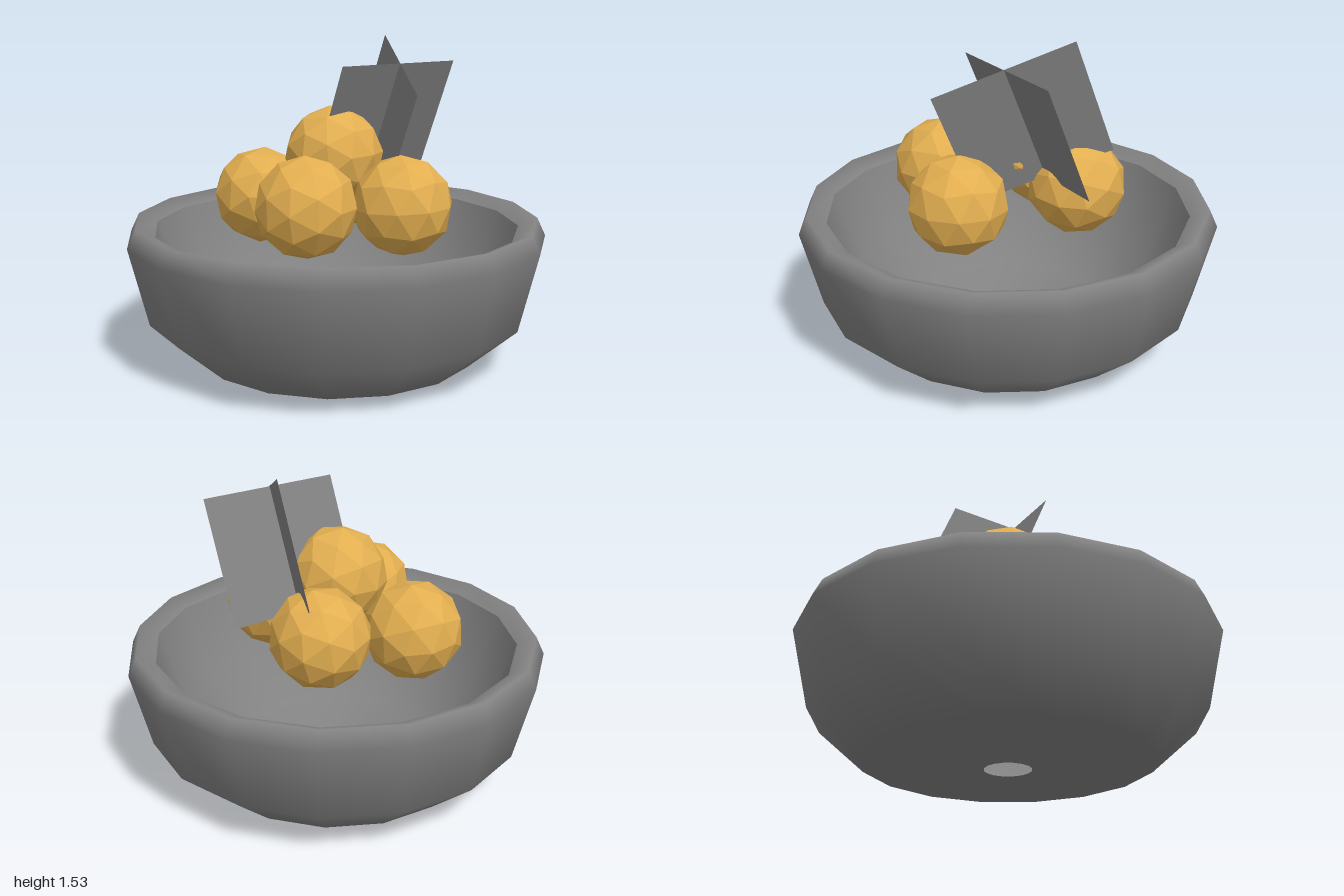
import * as THREE from 'three';

const bowlGrey = new THREE.MeshStandardMaterial({ color: 0x828282 });
bowlGrey.name = 'bowlGrey';
bowlGrey.side = THREE.DoubleSide;
const fruitOrange = new THREE.MeshStandardMaterial({ color: 0xe2ae50, flatShading: true });
fruitOrange.name = 'fruitOrange';

function add(parent, name, geometry, material) {
  const mesh = new THREE.Mesh(geometry, material);
  mesh.name = name;
  parent.add(mesh);
  return mesh;
}

// Sixteen-sided smooth surface of revolution from [radius, height] pairs
function lathe(profile) {
  return new THREE.LatheGeometry(profile.map(([r, y]) => new THREE.Vector2(r, y)), 16);
}

// Flat plate from its top edge (a to b) and the vector down to its lower edge
function plate(a, b, down) {
  const c = a.clone().add(down), d = b.clone().add(down);
  const geometry = new THREE.BufferGeometry().setFromPoints([a, c, b, d]);
  geometry.setIndex([0, 1, 2, 2, 1, 3]);
  geometry.computeVertexNormals();
  return geometry;
}

export function createModel() {
  const model = new THREE.Group();
  model.name = 'fruitBowl';

  // Bowl: outside with rim, and hollow inside, both open at a small drain hole
  const bowl = new THREE.Group();
  bowl.name = 'bowl';
  model.add(bowl);
  add(bowl, 'bowlOutside', lathe([
    [0.11, 0], [0.68, 0.027], [0.91, 0.23], [1, 0.6], [0.96, 0.685], [0.87, 0.645],
  ]), bowlGrey);
  add(bowl, 'bowlInside', lathe([
    [0.87, 0.645], [0.74, 0.3], [0.48, 0.09], [0.11, 0],
  ]), bowlGrey);

  // Faceted fruits: four in a ring and one on top
  const fruits = [
    [-0.37, 0.76, -0.12], [0.045, 0.8, -0.33], [-0.115, 0.795, 0.345],
    [0.315, 0.775, 0.18], [-0.01, 0.98, 0],
  ];
  const fruitGeometry = new THREE.IcosahedronGeometry(0.235, 1);
  fruits.forEach((position, i) => {
    const fruit = add(model, 'fruit' + (i + 1), fruitGeometry, fruitOrange);
    fruit.position.set(...position);
    fruit.rotation.set(0.4 + i * 1.3, i * 0.9, 0.3 + i * 0.7);
  });

  // Two crossed, tilted leaf plates
  const leaves = new THREE.Group();
  leaves.name = 'leaves';
  model.add(leaves);
  const down = new THREE.Vector3(-0.15, -0.54, -0.17);
  add(leaves, 'wideLeaf', plate(
    new THREE.Vector3(0.04, 1.41, 0.19), new THREE.Vector3(0.56, 1.41, -0.25), down), bowlGrey);
  add(leaves, 'crossLeaf', plate(
    new THREE.Vector3(0.375, 1.29, 0.28), new THREE.Vector3(0.225, 1.53, -0.33), down), bowlGrey);

  return model;
}
